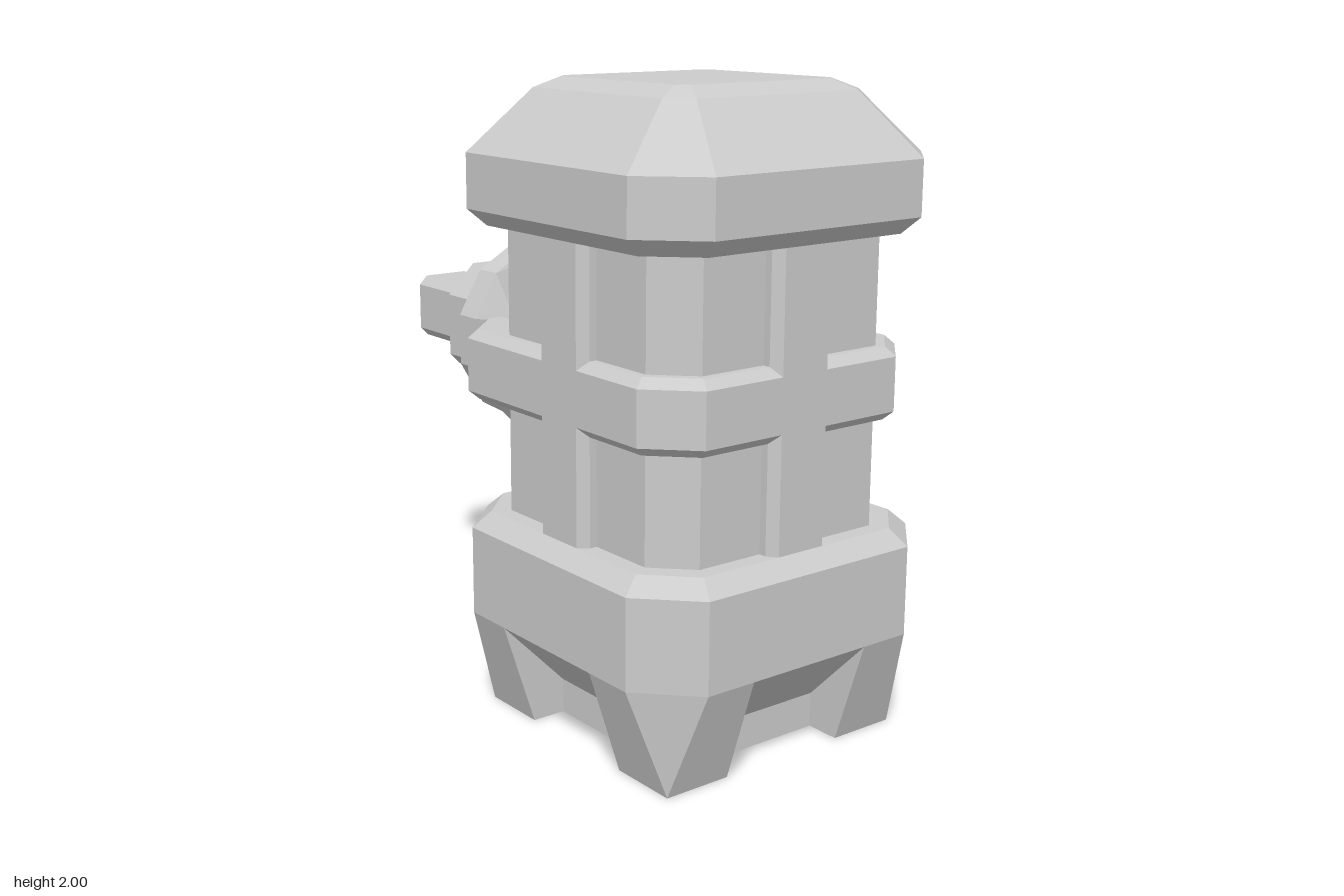
import * as THREE from 'three';
import { ConvexGeometry } from 'three/addons/geometries/ConvexGeometry.js';

const material = new THREE.MeshStandardMaterial({ color: 0xcccccc, flatShading: true });
const CENTRE_Z = 0.445; // middle of the upright body
const AXLE_Y = 1.11;    // height of the rear axle

// Rectangle with cut corners, counter-clockwise seen from above
function octagon(hx, hz, cut, cz = 0) {
  const c = Math.max(cut, 0.001);
  return [
    [hx, hz - c], [hx, c - hz], [hx - c, -hz], [c - hx, -hz],
    [-hx, c - hz], [-hx, hz - c], [c - hx, hz], [hx - c, hz],
  ].map(([x, z]) => [x, z + cz]);
}

// Twelve-sided ring with flat top and sides, sized across its flats
function dodecagon(rx, rz) {
  const k = 1 / Math.cos(Math.PI / 12);
  return Array.from({ length: 12 }, (_, i) => {
    const a = ((i + 0.5) * Math.PI) / 6;
    return [rx * k * Math.cos(a), -rz * k * Math.sin(a)];
  });
}

// Skin a stack of [y, ring] sections and close both ends
function loft(sections) {
  const n = sections[0][1].length;
  const positions = [];
  const index = [];
  for (const [y, ring] of sections) for (const [x, z] of ring) positions.push(x, y, z);
  for (let s = 0; s < sections.length - 1; s++) {
    for (let i = 0; i < n; i++) {
      const a = s * n + i;
      const b = s * n + ((i + 1) % n);
      index.push(a, b, b + n, a, b + n, a + n);
    }
  }
  const top = (sections.length - 1) * n;
  for (let i = 1; i < n - 1; i++) {
    index.push(0, i + 1, i);
    index.push(top, top + i, top + i + 1);
  }
  const indexed = new THREE.BufferGeometry();
  indexed.setAttribute('position', new THREE.Float32BufferAttribute(positions, 3));
  indexed.setIndex(index);
  const geometry = indexed.toNonIndexed();
  geometry.computeVertexNormals();
  return geometry;
}

function add(parent, name, geometry) {
  const mesh = new THREE.Mesh(geometry, material);
  mesh.name = name;
  parent.add(mesh);
  return mesh;
}

const square = (y, half, cut) => [y, octagon(half, half, cut)];

export function createModel() {
  const model = new THREE.Group();
  model.name = 'model';

  const body = new THREE.Group();
  body.name = 'body';
  body.position.z = CENTRE_Z;
  model.add(body);

  // Head with bevelled crown
  add(body, 'head', loft([
    square(1.56, 0.5, 0.135), square(1.612, 0.555, 0.165), square(1.78, 0.555, 0.165),
    square(1.968, 0.37, 0.065), square(2.0, 0.295, 0.03),
  ]));

  // Recessed core between head and base
  add(body, 'core', loft([square(0.64, 0.445, 0.11), square(1.58, 0.445, 0.11)]));

  // Upright rib on each of the four sides
  const ribSection = [[0.11, 0.4], [0.11, 0.47], [0.085, 0.5], [-0.085, 0.5], [-0.11, 0.47], [-0.11, 0.4]].reverse();
  const ribRing = ribSection.map(([x, z]) => [x, z]);
  for (let i = 0; i < 4; i++) {
    add(body, 'rib', loft([[0.64, ribRing], [1.58, ribRing]])).rotation.y = (i * Math.PI) / 2;
  }

  // Belt around the middle, reaching further out at the back
  const beltRing = (inset) => octagon(0.5 - inset, 0.56 - inset, 0.135 - inset * 0.5, -0.06);
  add(body, 'belt', loft([
    [1.0, beltRing(0.03)], [1.028, beltRing(0)], [1.195, beltRing(0)], [1.223, beltRing(0.03)],
  ]));

  // Base collar and the block whose slopes form the backs of the notches
  add(body, 'base', loft([
    square(0, 0.333, 0), square(0.11, 0.333, 0), square(0.335, 0.555, 0.165),
    square(0.615, 0.555, 0.165), square(0.665, 0.5, 0.135),
  ]));

  // Tapered corner feet
  const footPoints = [
    [0.22, 0.335, 0.555], [0.39, 0.335, 0.555], [0.555, 0.335, 0.39], [0.555, 0.335, 0.22],
    [0.22, 0.335, 0.22], [0.22, 0, 0.445], [0.445, 0, 0.445], [0.445, 0, 0.22], [0.22, 0, 0.22],
  ].map((p) => new THREE.Vector3(...p));
  for (let i = 0; i < 4; i++) {
    add(body, 'foot', new ConvexGeometry(footPoints)).rotation.y = (i * Math.PI) / 2;
  }

  // Rear axle assembly, lofted upward then laid back along -z
  const axle = new THREE.Group();
  axle.name = 'axle';
  axle.position.y = AXLE_Y;
  axle.rotation.x = -Math.PI / 2;
  model.add(axle);

  // Housing flares in height only where it meets the body
  add(axle, 'housing', loft([
    [-0.02, dodecagon(0.31, 0.43)], [0.055, dodecagon(0.31, 0.425)], [0.29, dodecagon(0.31, 0.31)],
    [0.385, dodecagon(0.31, 0.31)], [0.435, dodecagon(0.26, 0.26)],
  ]));
  add(axle, 'collar', loft([
    square(0.4, 0.205, 0.1), square(0.62, 0.205, 0.1), square(0.667, 0.157, 0.08),
  ]));
  add(axle, 'shaft', loft([
    square(0.63, 0.11, 0.03), square(0.975, 0.11, 0.03), square(1.0, 0.087, 0.02),
  ]));

  return model;
}
